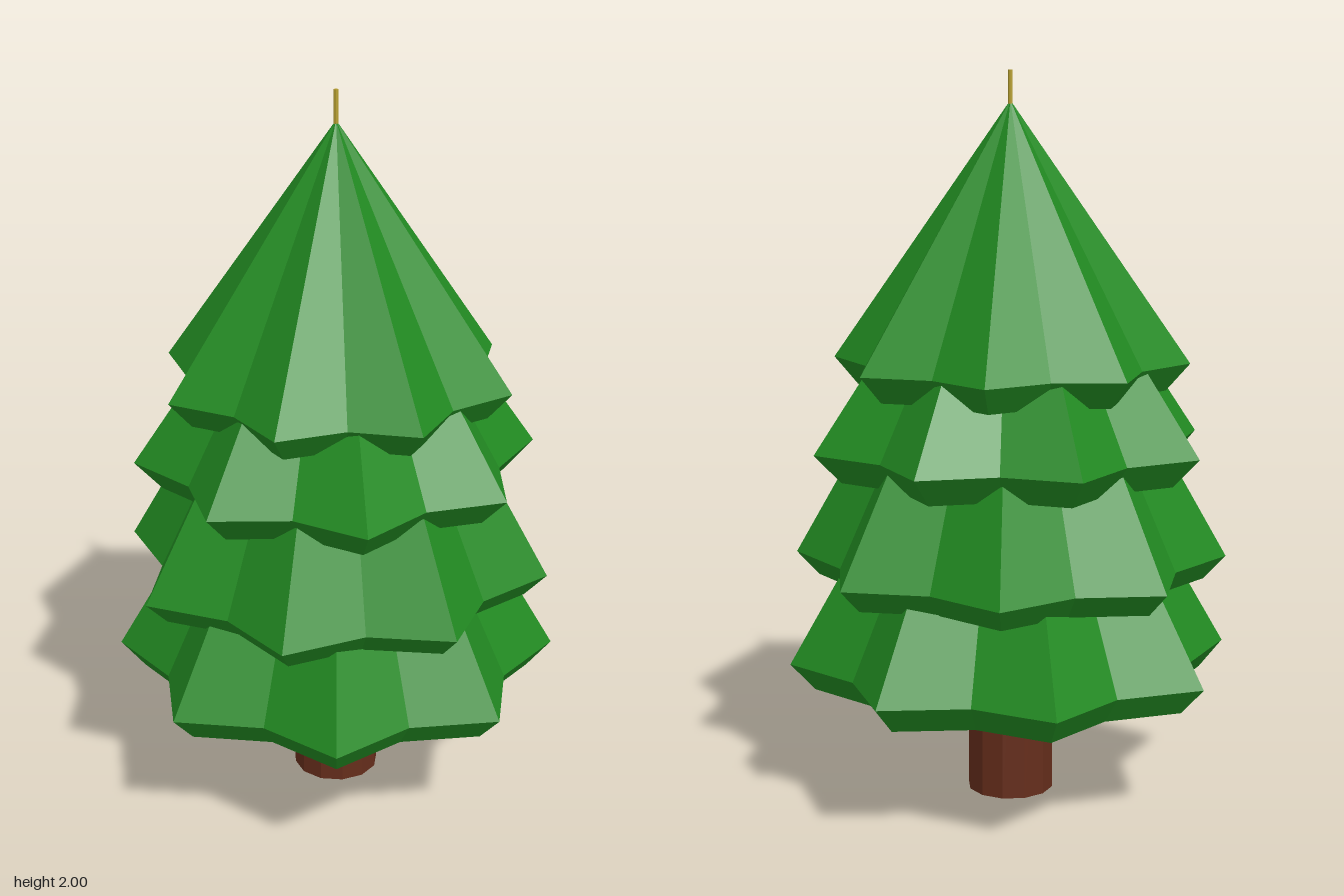
import * as THREE from 'three';

const POINTS = 8; // branch tips per tier
const GREEN = new THREE.MeshStandardMaterial({ color: 0x228b22, flatShading: true, side: THREE.DoubleSide });
const BROWN = new THREE.MeshStandardMaterial({ color: 0x652d1b, flatShading: true });
const GOLD = new THREE.MeshStandardMaterial({ color: 0xb8a030, flatShading: true });

// Star-shaped ring: tips at radius r, notches at 0.82 r
function starRing(r, y, turn) {
  const ring = [];
  for (let i = 0; i < POINTS * 2; i++) {
    const a = THREE.MathUtils.degToRad(turn) + (i * Math.PI) / POINTS;
    const d = i % 2 ? r * 0.82 : r;
    ring.push(new THREE.Vector3(d * Math.cos(a), y, d * Math.sin(a)));
  }
  return ring;
}

// Hollow star cone with a rim that turns inward at the bottom
function tierGeometry({ r, rimY, apexY, lowR, lowY, turn }) {
  const apex = new THREE.Vector3(0, apexY, 0);
  const rim = starRing(r, rimY, turn);
  const low = starRing(lowR, lowY, turn);
  const tris = [];
  for (let i = 0; i < rim.length; i++) {
    const j = (i + 1) % rim.length;
    tris.push(apex, rim[j], rim[i]);
    tris.push(rim[i], rim[j], low[j], rim[i], low[j], low[i]);
  }
  const geometry = new THREE.BufferGeometry().setFromPoints(tris);
  geometry.computeVertexNormals();
  return geometry;
}

function addCylinder(group, name, radius, bottom, top, sides, material) {
  const mesh = new THREE.Mesh(new THREE.CylinderGeometry(radius, radius, top - bottom, sides), material);
  mesh.position.y = (bottom + top) / 2;
  mesh.name = name;
  group.add(mesh);
}

export function createModel() {
  const group = new THREE.Group();
  group.name = 'pineTree';

  addCylinder(group, 'trunk', 0.12, 0, 0.9, 12, BROWN);

  // Foliage tiers from bottom to top, each turned against its neighbour
  const tiers = [
    { r: 0.617, rimY: 0.39, apexY: 1.46, lowR: 0.55, lowY: 0.315, turn: -6.5 },
    { r: 0.597, rimY: 0.675, apexY: 1.73, lowR: 0.535, lowY: 0.61, turn: 7 },
    { r: 0.555, rimY: 0.99, apexY: 1.8, lowR: 0.48, lowY: 0.91, turn: -14.7 },
    { r: 0.49, rimY: 1.22, apexY: 1.92, lowR: 0.425, lowY: 1.145, turn: 12 },
  ];
  tiers.forEach((tier, i) => {
    const mesh = new THREE.Mesh(tierGeometry(tier), GREEN);
    mesh.name = `foliageTier${i + 1}`;
    group.add(mesh);
  });

  // Thin spike on the treetop
  addCylinder(group, 'topSpike', 0.006, 1.9, 2, 8, GOLD);
  return group;
}
